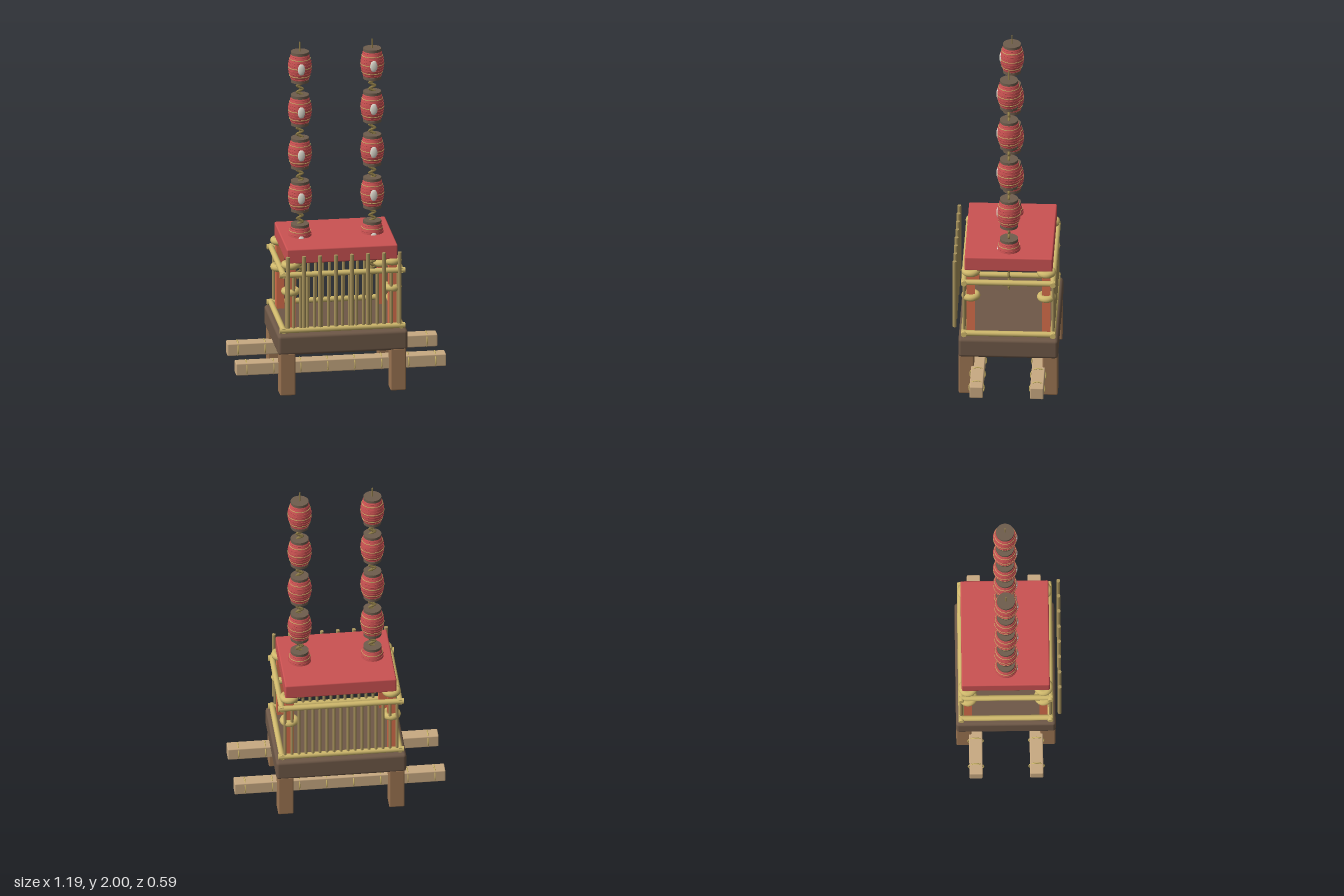
import * as THREE from 'three';
import { RoundedBoxGeometry } from 'three/addons/geometries/RoundedBoxGeometry.js';

const mat = (color) => new THREE.MeshStandardMaterial({ color });
const M = {
  deck: mat(0x6e5847), leg: mat(0x9c7552), beam: mat(0xc9aa82), gold: mat(0xd0b96c),
  bamboo: mat(0xa8935c), post: mat(0xd96f4c), red: mat(0xcb5252), cap: mat(0x6f5d4d),
  rope: mat(0x8f7d48), white: mat(0xe6e2d6),
};
const ZC = -0.017; // body centre in z

function add(parent, name, geometry, material, x = 0, y = 0, z = 0) {
  const mesh = new THREE.Mesh(geometry, material);
  mesh.name = name;
  mesh.position.set(x, y, z);
  parent.add(mesh);
  return mesh;
}

const block = (w, h, d, r = 0.008) => new RoundedBoxGeometry(w, h, d, 2, r);

// Paper lantern: barrel body, raised ribs, end caps, and an oval front patch
function createLantern() {
  const g = new THREE.Group();
  g.name = 'lantern';
  const radiusAt = (y) => 0.046 + 0.02 * (1 - (y / 0.08) ** 2);
  const profile = [];
  for (let i = 0; i <= 12; i++) {
    const y = -0.08 + (0.16 * i) / 12;
    profile.push(new THREE.Vector2(radiusAt(y), y));
  }
  add(g, 'lanternBody', new THREE.LatheGeometry(profile, 24), M.red);
  for (let i = 0; i < 9; i++) {
    const y = -0.066 + i * 0.0165;
    const rib = new THREE.TorusGeometry(radiusAt(y), 0.0022, 5, 24).rotateX(Math.PI / 2);
    add(g, 'lanternRib', rib, i % 3 === 1 ? M.gold : M.red, 0, y, 0);
  }
  for (const s of [-1, 1]) {
    add(g, 'lanternCap', new THREE.CylinderGeometry(0.051, 0.051, 0.016, 24), M.cap, 0, s * 0.082, 0);
  }
  const patch = add(g, 'lanternPatch', new THREE.SphereGeometry(1, 16, 10), M.white, 0, 0, 0.062);
  patch.scale.set(0.021, 0.034, 0.008);
  return g;
}

// Pole: a thin core, a flat zigzag rope and five lanterns
function createLanternPole(x) {
  const g = new THREE.Group();
  g.name = 'lanternPole';
  g.position.set(x, 0, ZC + 0.002);
  add(g, 'poleCore', new THREE.CylinderGeometry(0.004, 0.004, 1.41, 8), M.rope, 0, 1.295, 0);
  const points = [];
  const steps = 70;
  for (let i = 0; i <= steps; i++) {
    points.push(new THREE.Vector3(i % 2 ? 0.018 : -0.018, 0.597 + (1.25 * i) / steps, 0));
  }
  const path = new THREE.CatmullRomCurve3(points, false, 'catmullrom', 0.3);
  add(g, 'zigzagRope', new THREE.TubeGeometry(path, steps * 6, 0.007, 6), M.rope);
  for (let i = 0; i < 5; i++) {
    const lantern = createLantern();
    lantern.position.y = 0.835 + i * 0.255;
    g.add(lantern);
  }
  return g;
}

export function createModel() {
  const model = new THREE.Group();
  model.name = 'lanternFloat';

  // Base deck
  add(model, 'deck', block(0.735, 0.118, 0.56, 0.018), M.deck, 0, 0.297, ZC);

  // Legs and corner posts, each post bound with two thick rings
  const bindingGeo = new THREE.TorusGeometry(0.034, 0.02, 10, 24).rotateX(Math.PI / 2);
  for (const sx of [-1, 1]) {
    for (const sz of [-1, 1]) {
      add(model, 'leg', block(0.088, 0.25, 0.086), M.leg, sx * 0.313, 0.125, ZC + sz * 0.235);
      const px = sx * 0.288, pz = ZC + sz * 0.212;
      add(model, 'cornerPost', new THREE.BoxGeometry(0.046, 0.43, 0.046), M.post, px, 0.565, pz);
      for (const y of [0.598, 0.755]) add(model, 'postBinding', bindingGeo, M.gold, px, y, pz);
    }
  }

  // Carrying beams with thin bindings
  const ringGeo = new THREE.TorusGeometry(0.043, 0.004, 6, 20).rotateY(Math.PI / 2);
  for (const z of [-0.187, 0.153]) {
    add(model, 'carryingBeam', block(1.19, 0.072, 0.075, 0.006), M.beam, 0, 0.143, z);
    for (let i = 0; i < 8; i++) {
      add(model, 'beamBinding', ringGeo, M.gold, -0.535 + (i * 1.07) / 7, 0.143, z);
    }
  }

  // Railings: round rails on four sides, upright bars at front and back
  const longRail = new THREE.CylinderGeometry(0.016, 0.016, 0.71, 12).rotateZ(Math.PI / 2);
  const shortRail = new THREE.CylinderGeometry(0.016, 0.016, 0.525, 12).rotateX(Math.PI / 2);
  const barGeo = new THREE.CylinderGeometry(0.009, 0.009, 0.33, 8);
  for (const s of [-1, 1]) {
    for (const y of [0.378, 0.706]) {
      add(model, 'longRail', longRail, M.gold, 0, y, ZC + s * 0.25);
      add(model, 'sideRail', shortRail, M.gold, s * 0.333, y, ZC);
    }
    for (let i = 0; i < 17; i++) {
      add(model, 'railBar', barGeo, M.bamboo, -0.316 + (i * 0.632) / 16, 0.545, ZC + s * 0.25);
    }
  }

  // Row of free-standing sticks along the front
  const stickGeo = new THREE.CylinderGeometry(0.011, 0.011, 0.42, 10);
  for (let i = 0; i < 8; i++) {
    add(model, 'frontStick', stickGeo, M.bamboo, -0.316 + i * 0.0905, 0.62, 0.285);
  }

  // Roof slab and the two lantern poles through it
  add(model, 'roof', block(0.628, 0.086, 0.494, 0.008), M.red, 0, 0.812, ZC);
  for (const s of [-1, 1]) model.add(createLanternPole(s * 0.205));

  return model;
}
